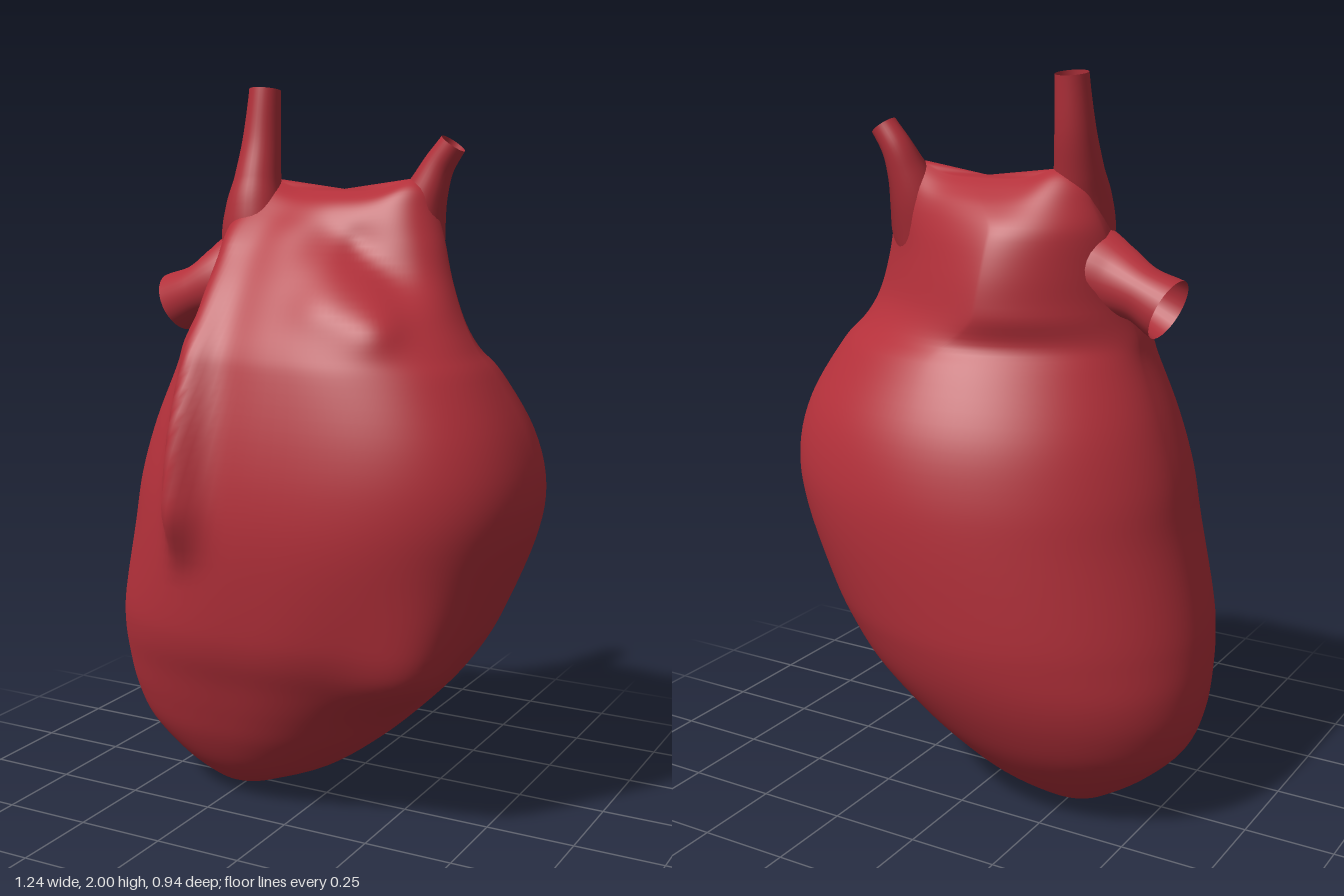
import * as THREE from 'three';

const muscle = new THREE.MeshStandardMaterial({ color: 0xb3303a });
muscle.name = 'muscle red';
muscle.side = THREE.DoubleSide;

// Body cross-sections: y, left x, right x, back z, front z, front squareness, back squareness
const SECTIONS = [
  [0.0, -0.32, -0.2, -0.07, 0.03, 2, 2],
  [0.03, -0.37, -0.13, -0.135, 0.1, 2, 2],
  [0.1, -0.47, 0.03, -0.225, 0.18, 2.1, 2],
  [0.2, -0.57, 0.17, -0.31, 0.245, 2.2, 2],
  [0.3, -0.61, 0.28, -0.37, 0.29, 2.3, 2],
  [0.4, -0.62, 0.375, -0.415, 0.33, 2.4, 2],
  [0.5, -0.615, 0.45, -0.445, 0.372, 2.45, 1.95],
  [0.6, -0.598, 0.505, -0.46, 0.395, 2.5, 1.95],
  [0.8, -0.55, 0.59, -0.47, 0.42, 2.5, 1.95],
  [0.95, -0.52, 0.618, -0.46, 0.42, 2.5, 1.95],
  [1.1, -0.47, 0.585, -0.42, 0.4, 2.5, 1.95],
  [1.25, -0.405, 0.507, -0.34, 0.365, 2.4, 1.85],
  [1.32, -0.385, 0.455, -0.29, 0.34, 2.3, 1.7],
  [1.4, -0.36, 0.405, -0.287, 0.295, 2.2, 1.5],
  [1.5, -0.34, 0.362, -0.27, 0.23, 2.1, 1.45],
  [1.6, -0.315, 0.328, -0.235, 0.15, 2, 1.5],
  [1.66, -0.285, 0.3, -0.185, 0.085, 2, 1.6],
  [1.7, -0.25, 0.275, -0.13, 0.035, 2, 1.8],
  [1.725, -0.17, 0.22, -0.085, -0.02, 2, 2],
];

// Soft swellings (+) and hollows (-): x, y, z, radius, amount
const BUMPS = [
  [0.36, 0.41, 0.25, 0.13, 0.075],
  [0.43, 0.58, 0.27, 0.15, 0.035],
  [0.25, 0.27, 0.25, 0.09, -0.015],
  [0.06, 1.61, 0.13, 0.08, -0.025],
  [0.18, 1.58, 0.13, 0.09, -0.055],
  [0.28, 1.51, 0.13, 0.09, -0.04],
  [0.14, 1.44, 0.27, 0.08, 0.02],
  [0.26, 1.39, 0.25, 0.08, 0.035],
  [0.24, 1.64, -0.12, 0.07, 0.015],
  [-0.22, 1.65, 0.06, 0.08, 0.02],
];

// Catmull-Rom value through four numbers
function spline(a, b, c, d, t) {
  return b + 0.5 * t * (c - a + t * (2 * a - 5 * b + 4 * c - d + t * (3 * (b - c) + d - a)));
}

const smooth = THREE.MathUtils.smoothstep;
const hump = (d, width) => Math.exp(-((d / width) ** 2));

function bodyGeometry() {
  const around = 144, steps = 5, last = SECTIONS.length - 1;
  const rows = last * steps;
  const pos = [], index = [];
  const power = (v, n) => Math.sign(v) * Math.pow(Math.abs(v), 2 / n);

  for (let j = 0; j <= rows; j++) {
    const k = Math.min(Math.floor(j / steps), last - 1);
    const t = j / steps - k;
    const at = (i) => SECTIONS[Math.max(0, Math.min(last, i))];
    const [y, x0, x1, zb, zf, nf, nb] = at(k).map((_, c) =>
      spline(at(k - 1)[c], at(k)[c], at(k + 1)[c], at(k + 2)[c], t));
    const cx = (x0 + x1) / 2, cz = (zb + zf) / 2;
    for (let i = 0; i < around; i++) {
      const a = (i / around) * Math.PI * 2;
      const front = Math.sin(a) > 0;
      const n = front ? nf : nb;
      let x = cx + ((x1 - x0) / 2) * power(Math.cos(a), n);
      let z = cz + ((zf - zb) / 2) * power(Math.sin(a), n);
      // upper chamber at the back peaks toward the right
      if (!front) x -= 0.09 * Math.sin(a) ** 2 * smooth(y, 1.27, 1.4) * (1 - smooth(y, 1.6, 1.72));
      // swellings and hollows, pushed away from the axis
      let push = 0;
      for (const [bx, by, bz, r, amount] of BUMPS) {
        push += amount * hump(Math.hypot(x - bx, y - by, z - bz), r);
      }
      const len = Math.hypot(x - cx, z - cz) || 1;
      x += (push * (x - cx)) / len;
      z += (push * (z - cz)) / len;
      // raised vein down the front, steeper on its outer side
      if (front) {
        const off = x + 0.232;
        const height = 0.08 * smooth(y, 0.7, 0.92) * (1 - 0.4 * smooth(y, 1.1, 1.6)) * (1 - smooth(y, 1.58, 1.71));
        z += height * hump(off, off < 0 ? 0.04 : 0.07);
      }
      // crown rises toward both vessels
      const lift = 0.035 * smooth(y, 1.6, 1.72) * (hump(x - 0.25, 0.08) + hump(x + 0.21, 0.08));
      pos.push(x, y + lift, z);
    }
  }
  for (let j = 0; j < rows; j++) {
    for (let i = 0; i < around; i++) {
      const a = j * around + i, b = j * around + ((i + 1) % around);
      index.push(a, a + around, b, b, a + around, b + around);
    }
  }
  // close the tip and the crown
  const base = pos.length / 3, top = rows * around;
  pos.push(-0.26, 0, -0.025, 0.025, 1.728, -0.055);
  for (let i = 0; i < around; i++) {
    const n = (i + 1) % around;
    index.push(base, i, n, base + 1, top + n, top + i);
  }
  const geo = new THREE.BufferGeometry();
  geo.setAttribute('position', new THREE.Float32BufferAttribute(pos, 3));
  geo.setIndex(index);
  geo.computeVertexNormals();
  return geo;
}

// Open tapering vessel; each point is x, y, z, radius, from the flared root to the cut end
function vessel(name, points) {
  const path = new THREE.CatmullRomCurve3(points.map((p) => new THREE.Vector3(p[0], p[1], p[2])));
  const segs = 32, sides = 32, last = points.length - 1;
  const geo = new THREE.TubeGeometry(path, segs, 1, sides);
  const pos = geo.attributes.position, v = new THREE.Vector3();
  for (let i = 0; i <= segs; i++) {
    const c = path.getPointAt(i / segs);
    const s = path.getUtoTmapping(i / segs) * last;
    const k = Math.min(Math.floor(s), last - 1);
    const r = (m) => points[Math.max(0, Math.min(last, m))][3];
    const radius = spline(r(k - 1), r(k), r(k + 1), r(k + 2), s - k);
    for (let j = 0; j <= sides; j++) {
      const n = i * (sides + 1) + j;
      v.fromBufferAttribute(pos, n).sub(c).multiplyScalar(radius).add(c);
      pos.setXYZ(n, v.x, v.y, v.z);
    }
  }
  const mesh = new THREE.Mesh(geo, muscle);
  mesh.name = name;
  return mesh;
}

export function createModel() {
  const heart = new THREE.Group();
  heart.name = 'heart';
  const body = new THREE.Mesh(bodyGeometry(), muscle);
  body.name = 'heartBody';
  heart.add(body);

  // upright vessel on the right of the crown
  heart.add(vessel('upperVessel', [
    [-0.2, 1.53, 0.0, 0.09], [-0.21, 1.6, 0.01, 0.1], [-0.219, 1.68, 0.003, 0.084],
    [-0.224, 1.75, -0.015, 0.066], [-0.226, 1.85, -0.04, 0.054], [-0.225, 1.995, -0.06, 0.044],
  ]));
  // short leaning vessel on the left of the crown
  heart.add(vessel('leftVessel', [
    [0.2, 1.5, -0.03, 0.08], [0.217, 1.58, -0.05, 0.1], [0.237, 1.66, -0.07, 0.08],
    [0.262, 1.73, -0.083, 0.056], [0.287, 1.79, -0.092, 0.043], [0.327, 1.848, -0.095, 0.037],
  ]));
  // side vessel pointing right and slightly down
  heart.add(vessel('sideVessel', [
    [-0.19, 1.5, -0.02, 0.1], [-0.26, 1.49, -0.005, 0.12], [-0.32, 1.47, 0.005, 0.1],
    [-0.4, 1.44, 0.005, 0.076], [-0.48, 1.405, 0.0, 0.085],
  ]));
  return heart;
}
